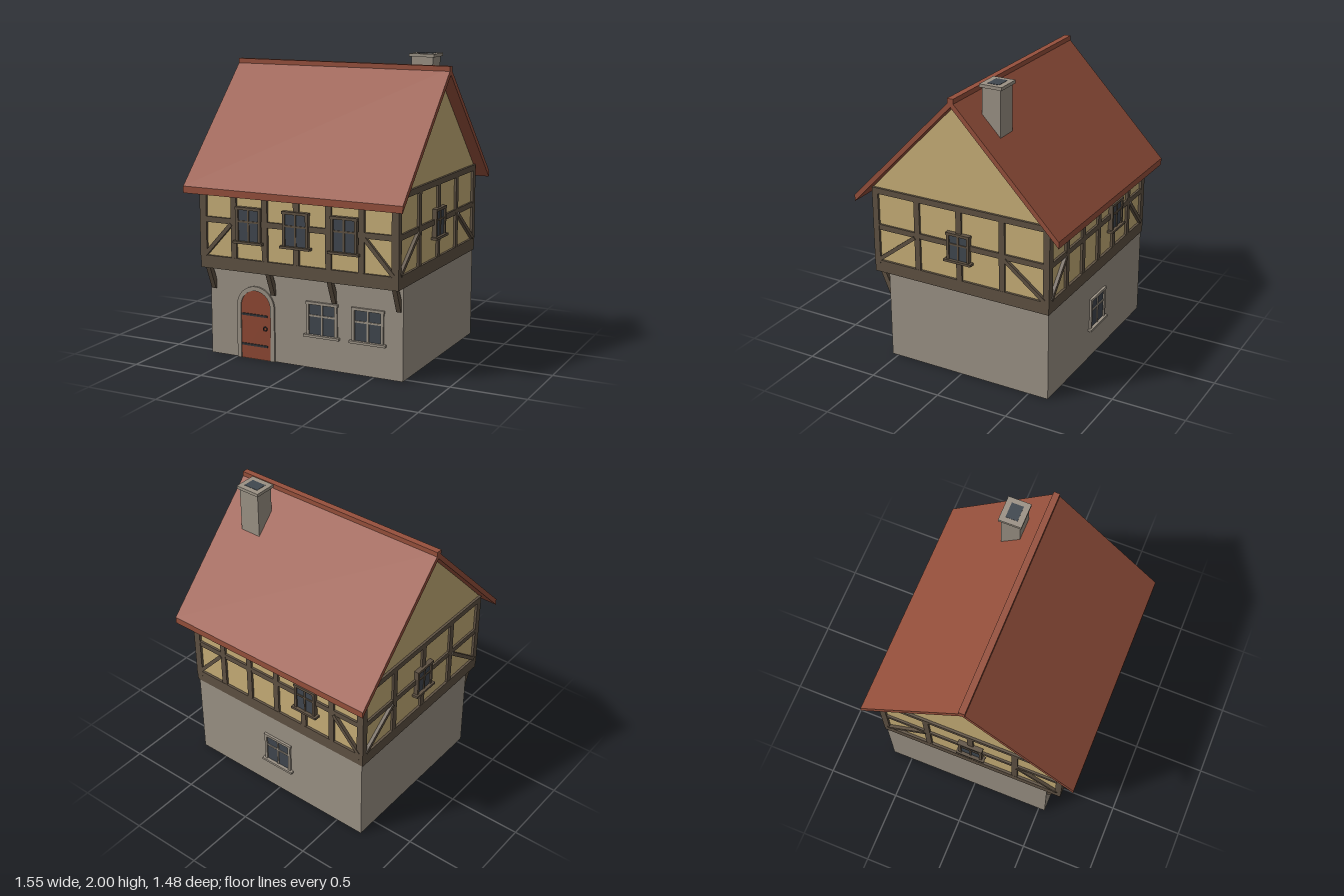
import * as THREE from 'three';

const mat = (name, color) => Object.assign(new THREE.MeshStandardMaterial({ color }), { name });

export function createModel() {
  const stone = mat('stone', 0x9b9285);
  const plaster = mat('plaster', 0xc8af78);
  const timber = mat('timber', 0x5f5243);
  const tile = mat('roofTile', 0x96503c);
  const doorRed = mat('doorRed', 0x8f4834);
  const glass = mat('glass', 0x40474f);
  const iron = mat('iron', 0x323437);

  const house = new THREE.Group();
  house.name = 'house';

  const add = (parent, name, geo, material) => {
    const m = new THREE.Mesh(geo, material);
    m.name = name;
    parent.add(m);
    return m;
  };
  // Box given by its minimum and maximum on each axis
  const box = (parent, name, material, x0, x1, y0, y1, z0, z1) => {
    const m = add(parent, name, new THREE.BoxGeometry(x1 - x0, y1 - y0, z1 - z0), material);
    m.position.set((x0 + x1) / 2, (y0 + y1) / 2, (z0 + z1) / 2);
    return m;
  };
  const poly = pts => new THREE.Shape(pts.map(p => new THREE.Vector2(p[0], p[1])));
  const extrude = (shape, depth) =>
    new THREE.ExtrudeGeometry(shape, { depth, bevelEnabled: false, curveSegments: 16 });
  // Cross-section drawn as (z, y), extruded along x and centred on cx
  const alongX = (pts, width, cx = 0) =>
    extrude(poly(pts), width).translate(0, 0, -width / 2).rotateY(-Math.PI / 2).translate(cx, 0, 0);

  // Window facing +z with frame, cross bars and sill
  const addWindow = (parent, name, frame, x, y0, y1, w, z) => {
    const g = new THREE.Group();
    g.name = name;
    parent.add(g);
    const h = w / 2, t = 0.018, ym = y0 + (y1 - y0) * 0.58;
    box(g, 'pane', glass, x - h + t, x + h - t, y0, y1 - t, z - 0.02, z + 0.004);
    for (const s of [-1, 1]) {
      const cx = x + s * (h - t / 2);
      box(g, 'frameSide', frame, cx - t / 2, cx + t / 2, y0, y1, z - 0.02, z + 0.014);
    }
    box(g, 'frameHead', frame, x - h - 0.004, x + h + 0.004, y1 - t, y1, z - 0.02, z + 0.016);
    box(g, 'mullion', frame, x - 0.006, x + 0.006, y0, y1 - t, z - 0.01, z + 0.01);
    box(g, 'crossBar', frame, x - h + t, x + h - t, ym - 0.006, ym + 0.006, z - 0.01, z + 0.01);
    box(g, 'sill', frame, x - h - 0.017, x + h + 0.017, y0 - 0.014, y0 + 0.002, z - 0.02, z + 0.026);
  };

  // Ground floor
  box(house, 'groundFloor', stone, -0.7, 0.7, 0, 0.615, -0.64, 0.545);
  addWindow(house, 'groundWindowInner', stone, 0.135, 0.225, 0.445, 0.22, 0.545);
  addWindow(house, 'groundWindowOuter', stone, 0.46, 0.225, 0.445, 0.22, 0.545);

  // Arched door
  const door = new THREE.Group();
  door.name = 'door';
  door.position.set(-0.353, 0, 0);
  house.add(door);
  const arch = (Type, r, spring) => {
    const s = new Type();
    s.moveTo(-r, 0);
    s.lineTo(r, 0);
    s.lineTo(r, spring);
    s.absarc(0, spring, r, 0, Math.PI, false);
    s.lineTo(-r, 0);
    return s;
  };
  const surround = arch(THREE.Shape, 0.14, 0.355);
  surround.holes.push(arch(THREE.Path, 0.111, 0.355));
  add(door, 'doorSurround', extrude(surround, 0.02).translate(0, 0, 0.538), stone);
  add(door, 'doorLeaf', extrude(arch(THREE.Shape, 0.112, 0.355), 0.012).translate(0, 0, 0.538), doorRed);
  for (const y of [0.095, 0.3])
    box(door, 'strapHinge', iron, -0.108, 0.087, y - 0.007, y + 0.007, 0.545, 0.557);
  add(door, 'doorRing', new THREE.TorusGeometry(0.013, 0.004, 8, 18), iron).position.set(0.072, 0.217, 0.557);

  // Upper floor and gables as one solid
  add(house, 'upperFloor', alongX(
    [[-0.63, 0.62], [0.63, 0.62], [0.63, 1.21], [0.645, 1.21], [0, 1.885], [-0.645, 1.21], [-0.63, 1.21]], 1.39), plaster);
  box(house, 'sillPlate', timber, -0.71, 0.71, 0.61, 0.657, -0.645, 0.645);
  for (const sx of [-1, 1]) for (const sz of [-1, 1]) {
    const p = box(house, 'cornerPost', timber, -0.0245, 0.0245, 0.657, 1.21, -0.0215, 0.0215);
    p.position.x = sx * 0.687;
    p.position.z = sz * 0.626;
  }

  // Timber framing for one wall, built facing +z then turned
  const framedWall = (name, turn, half, face, bays, windows) => {
    const g = new THREE.Group();
    g.name = name;
    g.rotation.y = turn;
    house.add(g);
    const back = face - 0.03;
    const end = half - 0.03;
    box(g, 'lowerRail', timber, -end, end, 0.655, 0.695, back, face);
    box(g, 'middleRail', timber, -end, end, 0.917, 0.954, back, face - 0.002);
    box(g, 'topRail', timber, -end, end, 1.17, 1.21, back, face);
    const step = 2 * (half - 0.024) / bays;
    for (let i = 1; i < bays; i++) {
      const x = -half + 0.024 + i * step;
      box(g, 'post', timber, x - 0.02, x + 0.02, 0.69, 1.18, back, face - 0.001);
    }
    for (const s of [-1, 1]) {
      const x0 = half - 0.035, x1 = half - step - 0.005, y0 = 0.7, y1 = 0.918;
      const brace = add(g, 'brace',
        new THREE.BoxGeometry(Math.hypot(x1 - x0, y1 - y0), 0.026, 0.032), timber);
      brace.position.set(s * (x0 + x1) / 2, (y0 + y1) / 2, face - 0.011);
      brace.rotation.z = s * Math.atan2(y0 - y1, x0 - x1);
    }
    for (const [x, y0, y1, w] of windows) addWindow(g, 'upperWindow', timber, x, y0, y1, w, face);
    return g;
  };
  const bigWindow = x => [x, 0.815, 1.04, 0.182];
  const smallWindow = x => [x, 0.835, 1.022, 0.165];
  framedWall('frontFraming', 0, 0.71, 0.647, 6, [-0.342, 0, 0.342].map(bigWindow));
  const backWall = framedWall('backFraming', Math.PI, 0.71, 0.647, 6, [smallWindow(0.25)]);
  addWindow(backWall, 'groundWindowBack', stone, 0, 0.225, 0.445, 0.22, 0.64);
  framedWall('leftFraming', Math.PI / 2, 0.647, 0.711, 4, [smallWindow(0)]);
  framedWall('rightFraming', -Math.PI / 2, 0.647, 0.711, 4, [smallWindow(0)]);

  // Brackets under the front overhang
  box(house, 'overhangSoffit', timber, -0.7, 0.7, 0.608, 0.63, 0.54, 0.64);
  for (const x of [-0.672, -0.222, 0.222, 0.672])
    add(house, 'bracket', alongX(
      [[0.54, 0.45], [0.555, 0.45], [0.625, 0.612], [0.588, 0.612], [0.54, 0.51]], 0.032, x), timber);

  // Roof slopes and ridge
  for (const s of [-1, 1]) {
    const pts = [[0, 1.88], [0.74, 1.115], [0.74, 1.16], [0, 1.925]].map(([z, y]) => [s * z, y]);
    add(house, 'roofSlope', alongX(pts, 1.55), tile);
  }
  box(house, 'ridge', tile, -0.776, 0.776, 1.88, 1.935, -0.021, 0.021);

  // Chimney
  box(house, 'chimneyShaft', stone, 0.45, 0.6, 1.55, 1.98, -0.246, -0.118);
  box(house, 'chimneyCap', stone, 0.438, 0.612, 1.977, 1.998, -0.26, -0.106);
  box(house, 'chimneyFlue', glass, 0.472, 0.578, 1.992, 2.0, -0.224, -0.144);

  return house;
}
